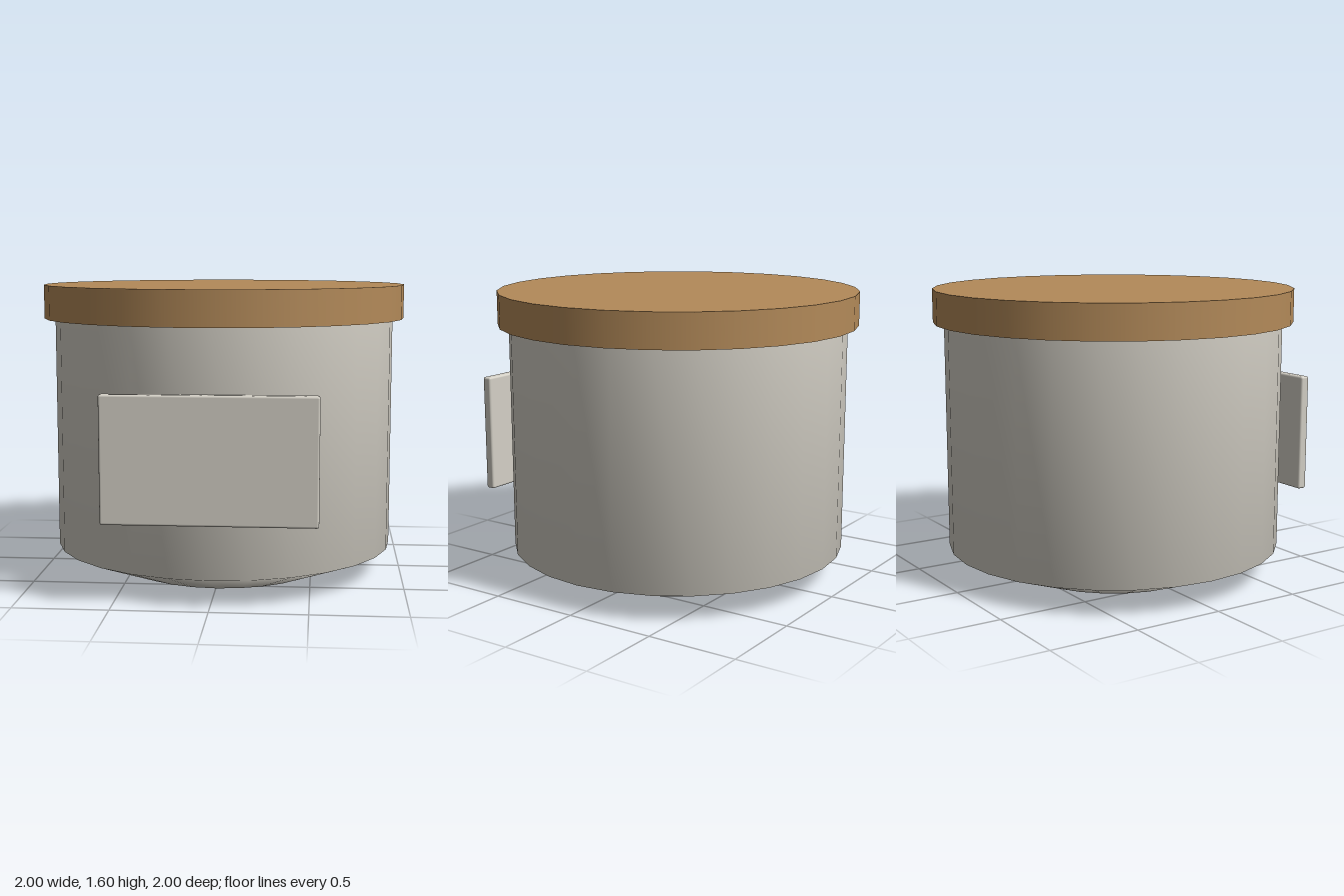
import * as THREE from 'three';
import { RoundedBoxGeometry } from 'three/addons/geometries/RoundedBoxGeometry.js';

const SIDES = 28;

export function createModel() {
  const group = new THREE.Group();
  const ceramic = new THREE.MeshStandardMaterial({ name: 'pale ceramic', color: 0xd4d0c6 });
  const wood = new THREE.MeshStandardMaterial({ name: 'wood brown', color: 0xb38a59 });

  const add = (name, geometry, material, x, y, z) => {
    const mesh = new THREE.Mesh(geometry, material);
    mesh.name = name;
    mesh.position.set(x, y, z);
    group.add(mesh);
  };

  // Smooth jar body tapering to a flat base
  const profile = [[0, 0], [0.56, 0], [0.94, 0.145], [0.94, 1.43]]
    .map(([r, y]) => new THREE.Vector2(r, y));
  add('jarBody', new THREE.LatheGeometry(profile, SIDES), ceramic, 0, 0, 0);

  // Overhanging flat lid
  add('lid', new THREE.CylinderGeometry(1, 1, 0.185, SIDES), wood, 0, 1.5075, 0);

  // Label plate with softened edges on the front
  add('labelPlate', new RoundedBoxGeometry(1.094, 0.656, 0.054, 2, 0.012), ceramic, 0, 0.757, 0.952);

  return group;
}
